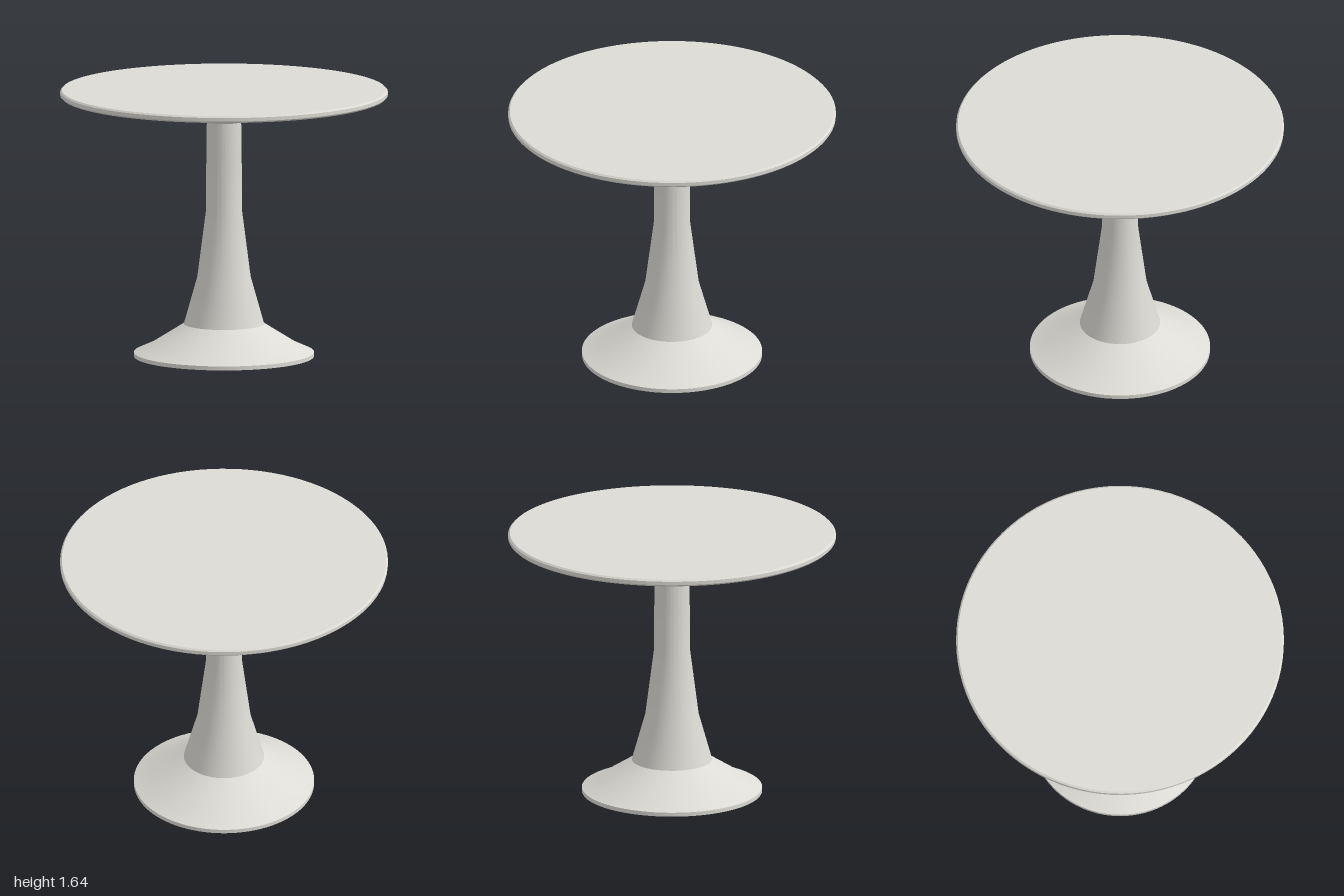
import * as THREE from 'three';
import { toCreasedNormals } from 'three/addons/utils/BufferGeometryUtils.js';

const SEGMENTS = 96;

// Turned part from [radius, height] points listed bottom to top, with sharp rims kept
function turned(name, profile, material) {
  const points = profile.map(([r, y]) => new THREE.Vector2(r, y));
  const geometry = toCreasedNormals(new THREE.LatheGeometry(points, SEGMENTS), Math.PI / 6);
  const mesh = new THREE.Mesh(geometry, material);
  mesh.name = name;
  return mesh;
}

export function createModel() {
  const model = new THREE.Group();
  model.name = 'pedestalTable';

  const paleGrey = new THREE.MeshStandardMaterial({ color: 0xdddbd5 });
  paleGrey.name = 'paleGrey';

  model.add(
    // Flared foot with a closed underside
    turned('base', [[0, 0], [0.55, 0], [0.55, 0.025], [0.45, 0.07], [0.245, 0.2]], paleGrey),
    // Tapering stem
    turned('column', [[0.245, 0.2], [0.163, 0.49], [0.11, 0.9], [0.108, 1.24], [0.105, 1.45]], paleGrey),
    // Funnel under the top
    turned('collar', [[0.105, 1.45], [0.2, 1.575], [0.245, 1.605]], paleGrey),
    // Round top with bevelled rims
    turned('tableTop', [
      [0, 1.603], [0.99, 1.603], [1, 1.613], [1, 1.635], [0.99, 1.645], [0, 1.645],
    ], paleGrey),
  );
  return model;
}
